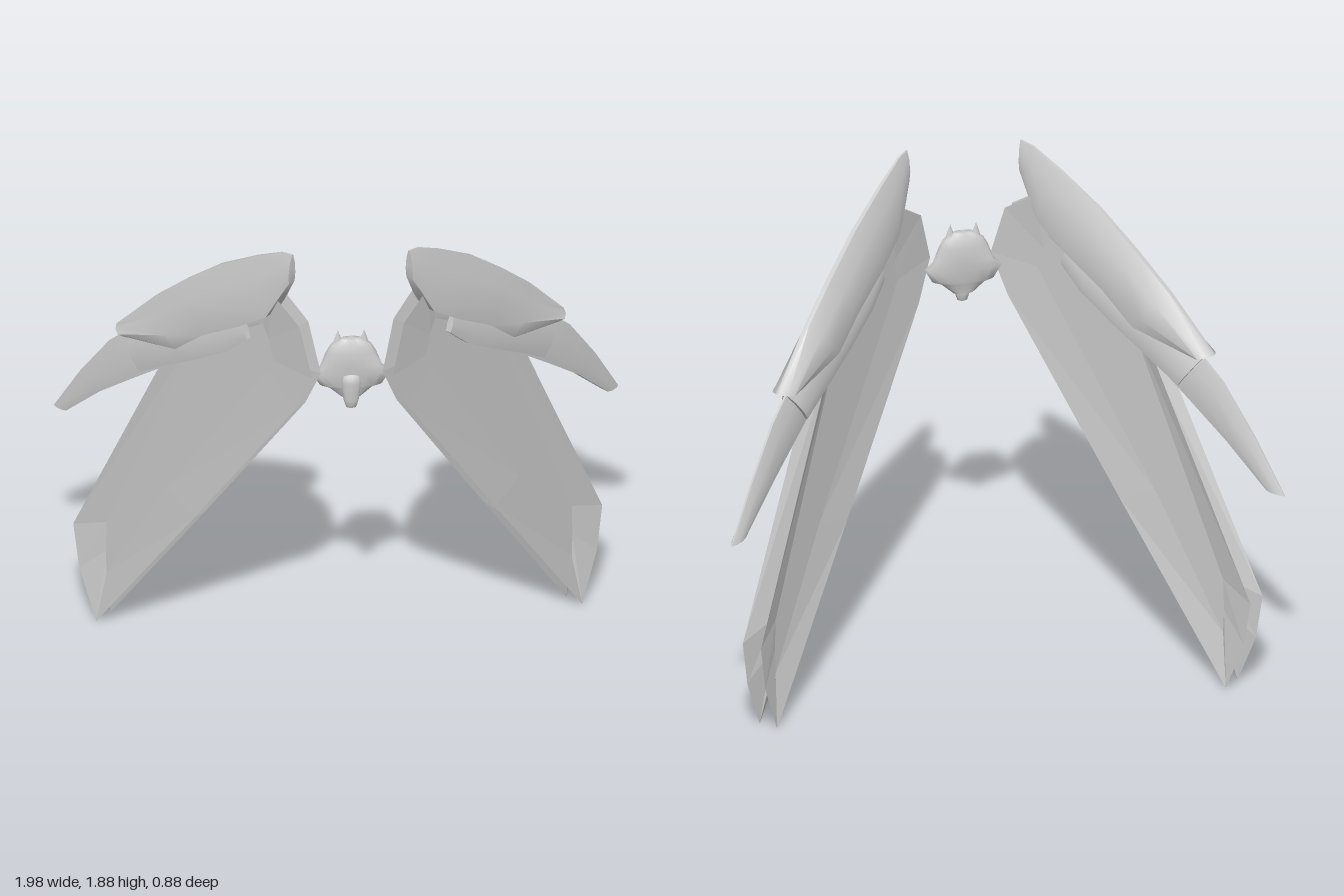
import * as THREE from 'three';
import { toCreasedNormals } from 'three/addons/utils/BufferGeometryUtils.js';

const grey = new THREE.MeshStandardMaterial({ color: 0xcccccc });
const CENTRE = 0.285; // the wing plane passes through x = z = CENTRE at 45 degrees

function part(name, geometry) {
  const mesh = new THREE.Mesh(geometry, grey);
  mesh.name = name;
  return mesh;
}

function fromTriangles(points, crease) {
  const geometry = new THREE.BufferGeometry().setFromPoints(points);
  geometry.computeVertexNormals();
  return crease ? toCreasedNormals(geometry, crease) : geometry;
}

// Skin a row of equal-sized rings and close both ends
function loft(rings, crease = 0.9) {
  const tris = [];
  const n = rings[0].length;
  const middle = (ring) => ring.reduce((sum, p) => sum.add(p), new THREE.Vector3()).divideScalar(n);
  const last = rings[rings.length - 1];
  const start = middle(rings[0]), end = middle(last);
  for (let j = 0; j < n; j++) {
    const k = (j + 1) % n;
    for (let i = 0; i < rings.length - 1; i++) {
      const a = rings[i][j], b = rings[i][k], c = rings[i + 1][k], d = rings[i + 1][j];
      tris.push(a, b, d, b, c, d);
    }
    tris.push(start, rings[0][k], rings[0][j], end, last[j], last[k]);
  }
  return fromTriangles(tris, crease);
}

// Stretch a front-on x into distance along the slanted wing plane
const along = (x) => (x - CENTRE) * Math.SQRT2;

// Double blade: two flared sharp rims, each sloping in to a sunken panel on a shared core
const rim = [[0.138, 1.43], [0.19, 1.28], [0.525, 0.63], [0.85, 0.01], [0.905, 0.2],
  [0.925, 0.37], [0.56, 1.42], [0.275, 1.71], [0.18, 1.62]];
const panel = [[0.275, 1.42], [0.30, 1.36], [0.63, 0.68], [0.83, 0.21], [0.833, 0.3],
  [0.83, 0.42], [0.55, 1.33], [0.31, 1.55], [0.29, 1.5]];
const frontRim = () => 0.005;
const rearRim = (x) => -0.042 - 0.038 * (x - 0.15);
const core = (x) => (frontRim() + rearRim(x)) / 2;
const CORE_HALF = 0.012;

function blade(rimDepth, frontOffset, backOffset) {
  const tris = [];
  const faces = THREE.ShapeUtils.triangulateShape(panel.map(([x, y]) => new THREE.Vector2(along(x), y)), []);
  for (const front of [true, false]) {
    const add = (a, b, c) => (front ? tris.push(a, b, c) : tris.push(a, c, b));
    const offset = front ? frontOffset : backOffset;
    const outer = rim.map(([x, y]) => new THREE.Vector3(along(x), y, rimDepth(x)));
    const inner = panel.map(([x, y]) => new THREE.Vector3(along(x), y, core(x) + offset));
    rim.forEach((_, i) => {
      const k = (i + 1) % rim.length;
      add(outer[i], outer[k], inner[k]);
      add(outer[i], inner[k], inner[i]);
    });
    faces.forEach(([a, b, c]) => add(inner[a], inner[b], inner[c]));
  }
  return fromTriangles(tris);
}

// Feather: stations of [ridge x, ridge y, lower x, lower y, half thickness]
function feather(stations, depth) {
  return loft(stations.map(([rx, ry, lx, ly, h]) => {
    const point = (t, w) => new THREE.Vector3(
      along(rx + (lx - rx) * t), ry + (ly - ry) * t, depth + w * h);
    return [point(0, 0.15), point(0.3, 0.7), point(0.7, 1), point(1, 0.85),
      point(1, -0.85), point(0.7, -1), point(0.3, -0.7), point(0, -0.15)];
  }));
}

function createWing() {
  const wing = new THREE.Group();
  wing.add(
    part('frontBlade', blade(frontRim, CORE_HALF, 0)),
    part('rearBlade', blade(rearRim, 0, -CORE_HALF)),
    part('shoulderCover', feather([
      [0.214, 1.89, 0.217, 1.775, 0.018], [0.25, 1.88, 0.24, 1.715, 0.028],
      [0.33, 1.82, 0.28, 1.61, 0.042], [0.45, 1.715, 0.365, 1.525, 0.054],
      [0.56, 1.59, 0.48, 1.425, 0.06], [0.66, 1.465, 0.57, 1.315, 0.06],
      [0.79, 1.272, 0.75, 1.257, 0.046]], -0.014)),
    part('middleFeather', feather([
      [0.37, 1.57, 0.35, 1.47, 0.036], [0.45, 1.53, 0.41, 1.39, 0.043],
      [0.57, 1.43, 0.51, 1.30, 0.047], [0.68, 1.35, 0.60, 1.225, 0.047],
      [0.765, 1.26, 0.70, 1.135, 0.042]], -0.02)),
    part('longFeather', feather([
      [0.62, 1.36, 0.57, 1.25, 0.02], [0.73, 1.295, 0.64, 1.18, 0.028],
      [0.82, 1.18, 0.73, 1.085, 0.028], [0.915, 1.0, 0.84, 0.965, 0.026],
      [1.003, 0.805, 0.955, 0.815, 0.018]], -0.02)),
  );
  wing.rotation.y = Math.PI / 4;
  wing.position.set(CENTRE, 0, CENTRE);
  return wing;
}

// Centre clasp: stacked oval rings of [y, half width, half depth]
function createClasp() {
  const clasp = new THREE.Group();
  clasp.name = 'clasp';
  const rows = [[1.305, 0.035, 0.012], [1.345, 0.08, 0.02], [1.355, 0.11, 0.024], [1.405, 0.138, 0.026],
    [1.435, 0.108, 0.032], [1.49, 0.088, 0.03], [1.52, 0.072, 0.025], [1.543, 0.04, 0.015]];
  clasp.add(part('claspBody', loft(rows.map(([y, a, b]) => Array.from({ length: 16 }, (_, i) => {
    const t = (i / 16) * Math.PI * 2;
    return new THREE.Vector3(a * Math.cos(t), y, -b * Math.sin(t));
  })), 1.1)));
  for (const side of [1, -1]) {
    const horn = part('claspHorn', new THREE.ConeGeometry(0.035, 0.11, 10));
    horn.position.set(side * 0.046, 1.523, 0);
    horn.scale.z = 0.6;
    clasp.add(horn);
  }
  // Pendant drop hanging on the front
  const drop = part('pendantDrop', new THREE.LatheGeometry(
    [[0, 1.262], [0.018, 1.27], [0.027, 1.3], [0.036, 1.37], [0.032, 1.4], [0, 1.415]]
      .map(([r, y]) => new THREE.Vector2(r, y)), 16));
  drop.scale.z = 0.6;
  drop.position.z = 0.015;
  clasp.add(drop);
  clasp.position.z = 0.355;
  return clasp;
}

export function createModel() {
  const model = new THREE.Group();
  for (const side of [1, -1]) {
    const mirror = new THREE.Group();
    mirror.name = side > 0 ? 'leftWing' : 'rightWing';
    mirror.scale.x = side;
    mirror.add(createWing());
    model.add(mirror);
  }
  model.add(createClasp());
  return model;
}
